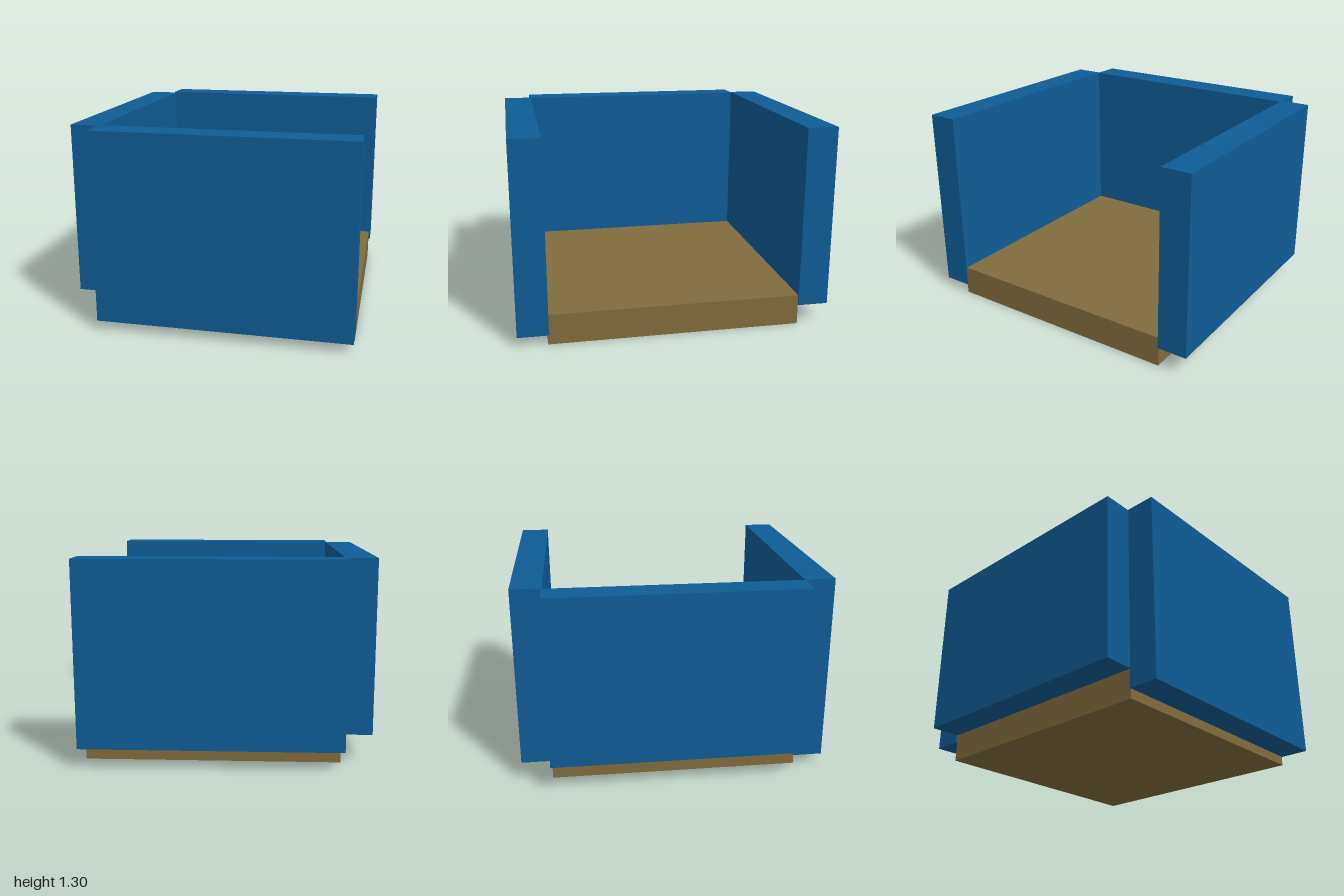
import * as THREE from 'three';

const blue = new THREE.MeshStandardMaterial({ color: 0x0f5c96 });
const tan = new THREE.MeshStandardMaterial({ color: 0x806b3c });

// Box spanning [min, max] along each axis
function slab(name, material, [x0, x1], [y0, y1], [z0, z1]) {
  const mesh = new THREE.Mesh(new THREE.BoxGeometry(x1 - x0, y1 - y0, z1 - z0), material);
  mesh.position.set((x0 + x1) / 2, (y0 + y1) / 2, (z0 + z1) / 2);
  mesh.name = name;
  return mesh;
}

export function createModel() {
  const model = new THREE.Group();
  model.name = 'openSidedBox';
  model.add(
    // Thick floor slab
    slab('floor', tan, [-0.718, 0.9], [0, 0.197], [-0.804, 0.81]),
    // Three walls, the left (+x) side stays open
    slab('frontWall', blue, [-0.724, 0.904], [0.062, 1.293], [0.804, 1]),
    slab('backWall', blue, [-0.728, 0.91], [0.131, 1.295], [-1, -0.804]),
    slab('rightWall', blue, [-0.914, -0.718], [0.186, 1.29], [-0.81, 0.81]),
  );
  return model;
}
